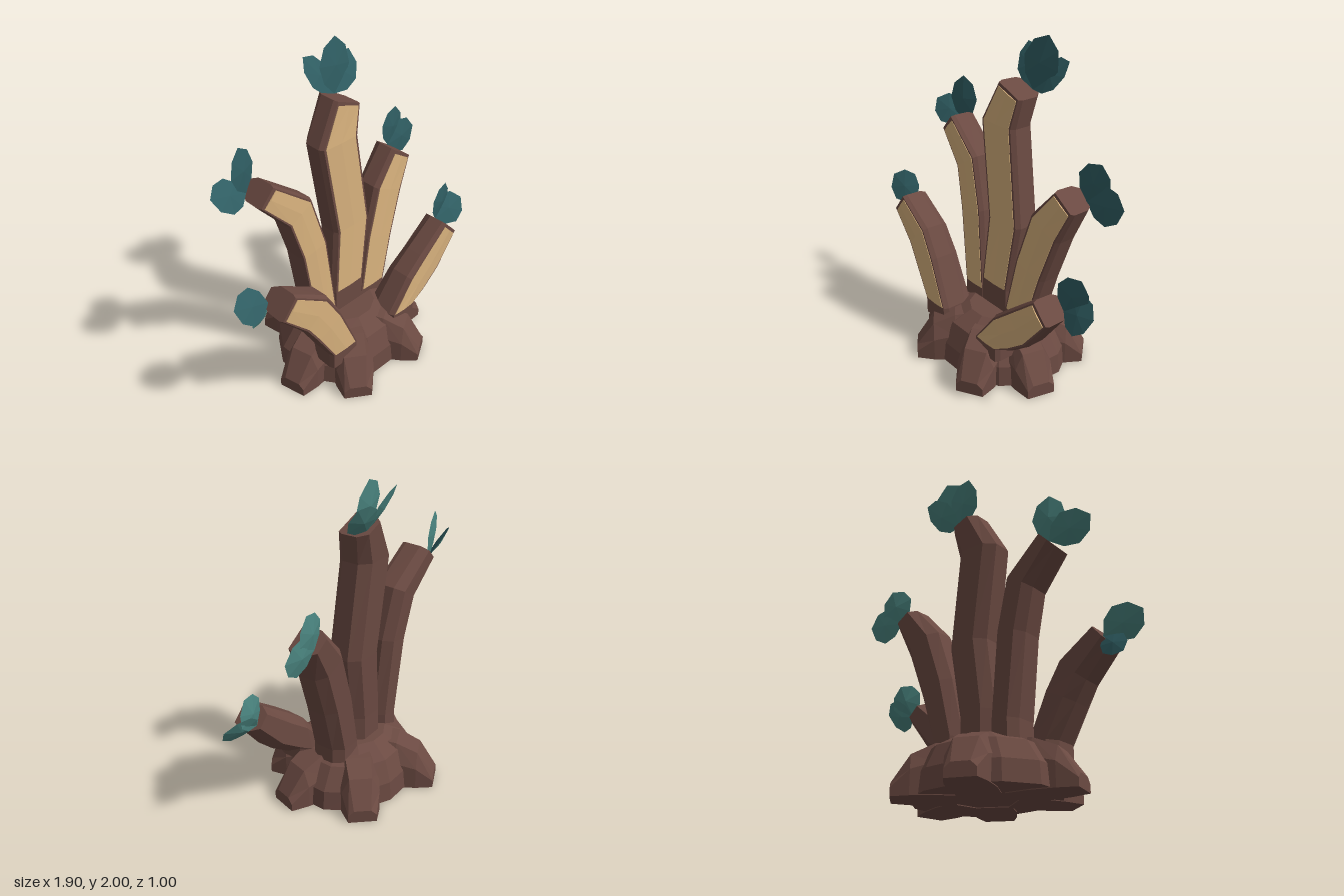
import * as THREE from 'three';

const mat = (name, color) => {
  const m = new THREE.MeshStandardMaterial({ color });
  m.name = name;
  return m;
};
const V = (x, y, z) => new THREE.Vector3(x, y, z);
const lerp = THREE.MathUtils.lerp;

// Faceted geometry from a list of triangle corners
function fromTriangles(points) {
  const g = new THREE.BufferGeometry().setFromPoints(points);
  g.computeVertexNormals();
  return g;
}

// Faceted solid through a series of rings, capped at both ends
function loft(rings) {
  const tris = [], n = rings[0].length;
  for (let r = 0; r < rings.length - 1; r++) {
    const a = rings[r], b = rings[r + 1];
    for (let i = 0; i < n; i++) {
      const j = (i + 1) % n;
      tris.push(a[i], a[j], b[j], a[i], b[j], b[i]);
    }
  }
  const first = rings[0], last = rings[rings.length - 1];
  for (let i = 1; i < n - 1; i++) {
    tris.push(first[0], first[i + 1], first[i], last[0], last[i], last[i + 1]);
  }
  return fromTriangles(tris);
}

// Branch cross-sections: [across -1..1, depth 0 back..1 front]
const BARK = [[-0.88, 1], [0.88, 1], [1, 0.85], [0.97, 0.3], [0.55, 0], [-0.55, 0], [-0.97, 0.3], [-1, 0.85]];
// Wood strip on the front: [across, lift], ridged down the middle
const STRIP = [[-0.78, 0.003], [0, 0.007], [0.78, 0.003], [0.78, -0.002], [0, -0.002], [-0.78, -0.002]];
// Branch width from base to tip
const TAPER = [0.95, 1.04, 1.08, 0.75];

// Front and back depths of the two branch rows, base to tip
const REAR = { front: [0.06, -0.005], back: [-0.14, -0.185] };
const FORE = { front: [0.31, 0.29], back: [0.09, 0.11] };

// Paths are (x, y); leaves are [degrees from upright, length, width, roll, lean in z]
function branchSpecs() {
  return [
    {
      name: 'centreBranch', row: REAR, width: 0.134,
      path: [[0, 0.48], [0.053, 0.91], [-0.03, 1.495], [0.055, 1.705]],
      leaves: [[11, 0.315, 0.26, 0.1, -0.18], [-32, 0.28, 0.18, 0.4, -0.32], [47, 0.27, 0.2, -0.5, -0.32]],
    },
    {
      name: 'upperRightBranch', row: REAR, width: 0.098,
      path: [[-0.2, 0.39], [-0.26, 0.885], [-0.338, 1.17], [-0.55, 1.362]],
      leaves: [[-4, 0.285, 0.2, 0.3, -0.05], [-70, 0.27, 0.2, 0.7, 0.12]],
    },
    {
      name: 'upperLeftBranch', row: REAR, width: 0.116,
      path: [[0.21, 0.365], [0.29, 0.695], [0.39, 0.995], [0.52, 1.19]],
      leaves: [[19, 0.25, 0.22, 0.15, -0.08], [83, 0.26, 0.23, -0.1, -0.08]],
    },
    {
      name: 'lowerRightBranch', row: FORE, width: 0.11,
      path: [[-0.28, 0.305], [-0.4, 0.55], [-0.485, 0.69], [-0.682, 0.852]],
      leaves: [[-67, 0.265, 0.21, 0.6, 0.08], [-135, 0.165, 0.16, 2.8, 0]],
    },
    {
      name: 'lowerLeftBranch', row: FORE, width: 0.107,
      path: [[0.238, 0.288], [0.37, 0.412], [0.5, 0.51], [0.685, 0.692]],
      leaves: [[25, 0.25, 0.21, 0.2, -0.08], [74, 0.25, 0.22, -0.6, 0.06]],
    },
  ];
}

function makeBranch({ name, row, width, path, leaves }, mats) {
  const group = new THREE.Group();
  group.name = name;
  const points = path.map(([x, y]) => V(x, y, 0));
  const end = points.length - 1;

  // Level at the base, then square to the direction of growth
  const across = points.map((p, i) => {
    if (i === 0) return V(1, 0, 0);
    const d = points[Math.min(i + 1, end)].clone().sub(points[i - 1]).normalize();
    return V(d.y, -d.x, 0);
  });
  const edge = (i, u) => points[i].clone().addScaledVector(across[i], u * width * TAPER[i]);
  const at = (k, u, depth, lift = 0) => {
    const i = Math.min(Math.floor(k), end - 1);
    const p = edge(i, u).lerp(edge(i + 1, u), k - i);
    return p.setZ(lerp(lerp(...row.back, k / end), lerp(...row.front, k / end), depth) + lift);
  };

  // Bark starts with a short foot sunk into the mound
  const rings = points.map((_, k) => BARK.map(([u, d]) => at(k, u, d)));
  const foot = rings[0].map(p => p.clone().setY(0.2));
  const bark = new THREE.Mesh(loft([foot, ...rings]), mats.bark);
  bark.name = 'bark';

  // Pale cut wood laid on the front
  const wood = new THREE.Mesh(loft([0.01, 1, 2, 2.92].map(k => STRIP.map(([u, lift]) => at(k, u, 1, lift)))), mats.wood);
  wood.name = 'cutWood';
  group.add(bark, wood);

  // Leaves sprout from the outer back corner of the tip
  const outward = Math.sign(path[end][0]);
  const base = points[end].clone().addScaledVector(across[end], 0.035 * outward).setZ(row.back[1] + 0.03);
  leaves.forEach(([degrees, length, leafWidth, roll, lean]) => {
    const a = THREE.MathUtils.degToRad(degrees);
    const axis = V(Math.sin(a), Math.cos(a), lean).multiplyScalar(length);
    group.add(makeLeaf(base, axis, leafWidth, roll, mats));
  });
  return group;
}

// Lens-shaped leaf: dark on its front, paler behind
function makeLeaf(base, axis, width, roll, mats) {
  const dir = axis.clone().normalize();
  const side = dir.clone().cross(V(0, 0, 1)).normalize().applyAxisAngle(dir, roll);
  const normal = side.clone().cross(dir);
  const at = (t, s, n) => base.clone().addScaledVector(axis, t).addScaledVector(side, s * width).addScaledVector(normal, n);
  const half = [[0.2, 0.34], [0.5, 0.5], [0.82, 0.36]];
  const rim = [at(0, 0, 0), ...half.map(([t, s]) => at(t, s, 0)), at(1, 0, 0), ...half.map(([t, s]) => at(t, -s, 0)).reverse()];
  const frontHub = at(0.5, 0, 0.012), backHub = at(0.5, 0, -0.018);
  const top = [], under = [];
  rim.forEach((p, i) => {
    const q = rim[(i + 1) % rim.length];
    top.push(frontHub, p, q);
    under.push(backHub, q, p);
  });
  const group = new THREE.Group();
  group.name = 'leaf';
  const front = new THREE.Mesh(fromTriangles(top), mats.leaf);
  const back = new THREE.Mesh(fromTriangles(under), mats.leafBack);
  front.name = 'leafFront';
  back.name = 'leafBack';
  group.add(front, back);
  return group;
}

// Root running outward along +z, then turned to its direction
function makeRoot([x, z], mats) {
  const reach = Math.hypot(x, z);
  const rings = [[0.3, 0.12, 0.31], [0.55, 0.13, 0.295], [0.8, 0.115, 0.235], [1, 0.085, 0.08]].map(([t, h, top]) =>
    [[-1, 0], [1, 0], [1, 0.6], [0.6, 1], [-0.6, 1], [-1, 0.6]].map(([u, v]) => V(u * h, v * top, t * reach)));
  const root = new THREE.Mesh(loft(rings), mats.bark);
  root.name = 'root';
  root.rotation.y = Math.atan2(x, z);
  return root;
}

// Low oval mound joining the roots: rings of [x radius, z radius, height]
function makeMound(mats) {
  const sides = 12;
  const rings = [[0.45, 0.385, 0.005], [0.44, 0.375, 0.13], [0.35, 0.32, 0.26], [0.2, 0.2, 0.33]].map(([rx, rz, y]) =>
    Array.from({ length: sides }, (_, i) => {
      const a = ((i + 0.5) / sides) * Math.PI * 2;
      return V(rx * Math.cos(a), y, -rz * Math.sin(a));
    }));
  const mound = new THREE.Mesh(loft(rings), mats.bark);
  mound.name = 'mound';
  return mound;
}

export function createModel() {
  const mats = {
    bark: mat('brown bark', 0x6b4a42),
    wood: mat('pale wood', 0xd6b07c),
    leaf: mat('dark teal leaf', 0x2f5d62),
    leafBack: mat('light teal leaf', 0x4b8681),
  };
  const model = new THREE.Group();
  model.name = 'treeStump';
  model.add(makeMound(mats));

  const rootTips = [[-0.22, -0.475], [0.38, -0.35], [-0.3, 0.44], [0.26, 0.45], [0.535, 0.13], [-0.55, 0.12]];
  rootTips.forEach(tip => model.add(makeRoot(tip, mats)));
  branchSpecs().forEach(spec => model.add(makeBranch(spec, mats)));
  return model;
}
